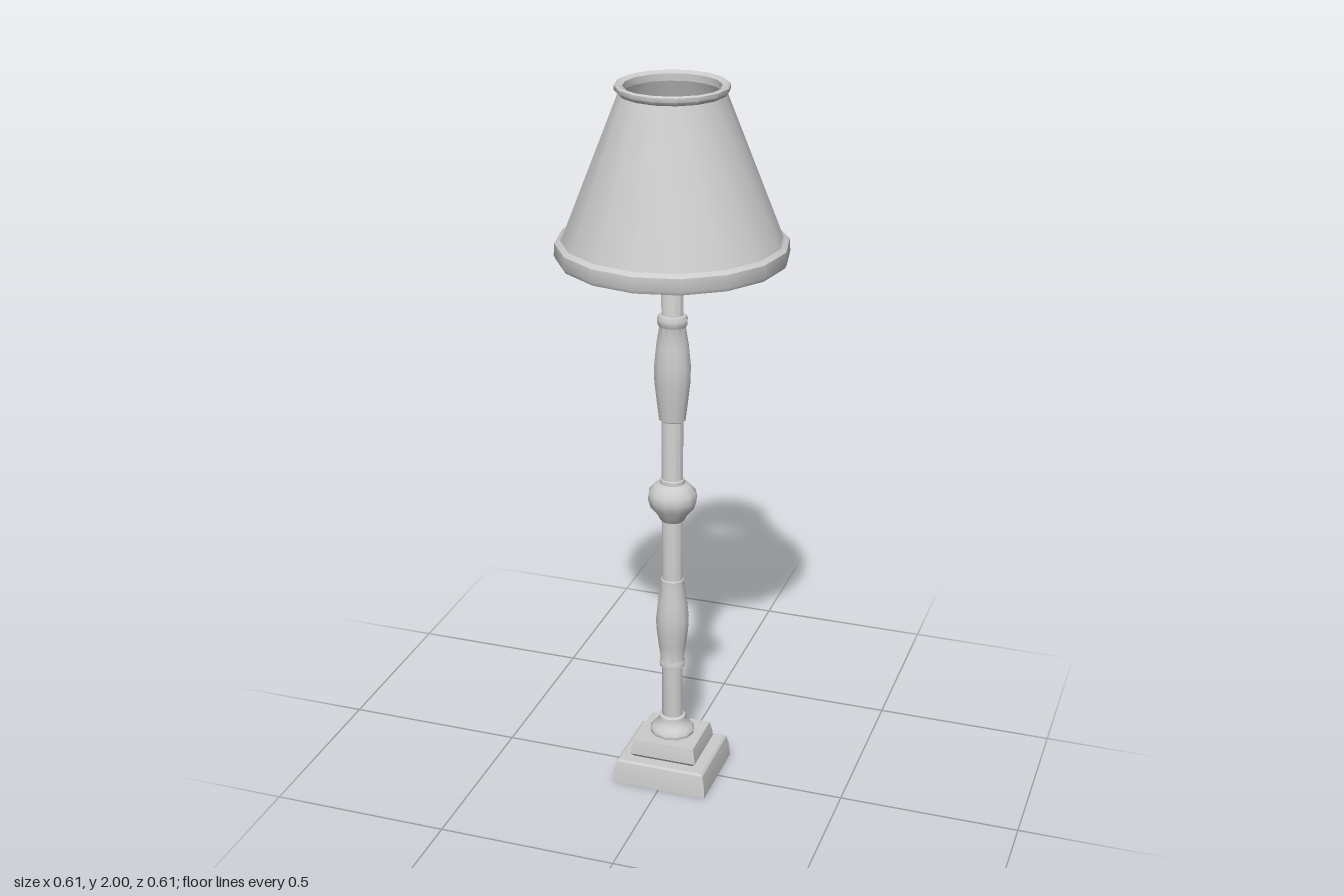
import * as THREE from 'three';
import { toCreasedNormals } from 'three/addons/utils/BufferGeometryUtils.js';

const material = new THREE.MeshStandardMaterial({ color: 0xcccccc, side: THREE.DoubleSide });

// Revolve [radius, height] pairs, keeping sharp edges crisp
function turned(name, profile, sides, zScale = 1, crease = 0.75) {
  const points = profile.map(([r, y]) => new THREE.Vector2(r, y));
  const geometry = new THREE.LatheGeometry(points, sides);
  geometry.scale(1, 1, zScale);
  const mesh = new THREE.Mesh(toCreasedNormals(geometry, crease), material);
  mesh.name = name;
  return mesh;
}

// Rectangular tier from [half width, height] pairs
function tier(name, profile, zScale) {
  const points = profile.map(([h, y]) => new THREE.Vector2(h * Math.SQRT2, y));
  const geometry = new THREE.LatheGeometry(points, 4);
  geometry.rotateY(Math.PI / 4);
  geometry.scale(1, 1, zScale);
  const mesh = new THREE.Mesh(toCreasedNormals(geometry, 0.3), material);
  mesh.name = name;
  mesh.position.z = 0.004;
  return mesh;
}

export function createModel() {
  const lamp = new THREE.Group();
  lamp.name = 'floorLamp';

  // Stepped base
  lamp.add(tier('lowerPlinth', [[0, 0], [0.137, 0], [0.134, 0.04], [0.128, 0.065], [0.122, 0.07], [0, 0.07]], 0.89));
  lamp.add(tier('upperPlinth', [[0.085, 0.068], [0.096, 0.08], [0.094, 0.1], [0.088, 0.125], [0, 0.127]], 0.89));

  // Round foot flaring into the pole
  lamp.add(turned('foot', [
    [0.062, 0.125], [0.064, 0.135], [0.058, 0.145], [0.045, 0.155],
    [0.039, 0.168], [0.038, 0.178], [0.03, 0.182],
  ], 12, 0.95));

  // Plain pole running up into the shade
  lamp.add(turned('pole', [[0.03, 0.15], [0.03, 1.6], [0.022, 1.61], [0, 1.613]], 12, 0.94));

  // Turned details on the pole
  lamp.add(turned('lowerBaluster', [
    [0.029, 0.338], [0.036, 0.34], [0.037, 0.352], [0.033, 0.36], [0.04, 0.41], [0.046, 0.46],
    [0.047, 0.49], [0.042, 0.54], [0.034, 0.59], [0.033, 0.612], [0.029, 0.615],
  ], 12, 0.94));
  lamp.add(turned('knop', [
    [0.029, 0.79], [0.034, 0.795], [0.04, 0.808], [0.062, 0.835], [0.069, 0.858],
    [0.066, 0.878], [0.05, 0.897], [0.035, 0.904], [0.034, 0.915], [0.029, 0.918],
  ], 12, 0.92));
  lamp.add(turned('upperBaluster', [
    [0.029, 1.085], [0.037, 1.09], [0.038, 1.1], [0.043, 1.14], [0.05, 1.2], [0.051, 1.24],
    [0.045, 1.3], [0.036, 1.355], [0.041, 1.362], [0.042, 1.375], [0.037, 1.386], [0.029, 1.388],
  ], 12, 0.87));

  // Hollow shade with its two rims
  const shade = new THREE.Group();
  shade.name = 'lampshade';
  shade.add(turned('shadeWall', [[0.289, 1.59], [0.136, 1.98]], 16));
  shade.add(turned('shadeLining', [[0.126, 1.985], [0.282, 1.59]], 16));
  shade.add(turned('bottomRim', [
    [0.284, 1.59], [0.288, 1.545], [0.301, 1.545], [0.306, 1.555], [0.304, 1.588], [0.291, 1.597], [0.284, 1.59],
  ], 16));
  shade.add(turned('topRim', [
    [0.126, 1.975], [0.138, 1.975], [0.147, 1.985], [0.147, 1.996], [0.142, 2], [0.126, 1.994], [0.126, 1.975],
  ], 16));
  lamp.add(shade);

  return lamp;
}
